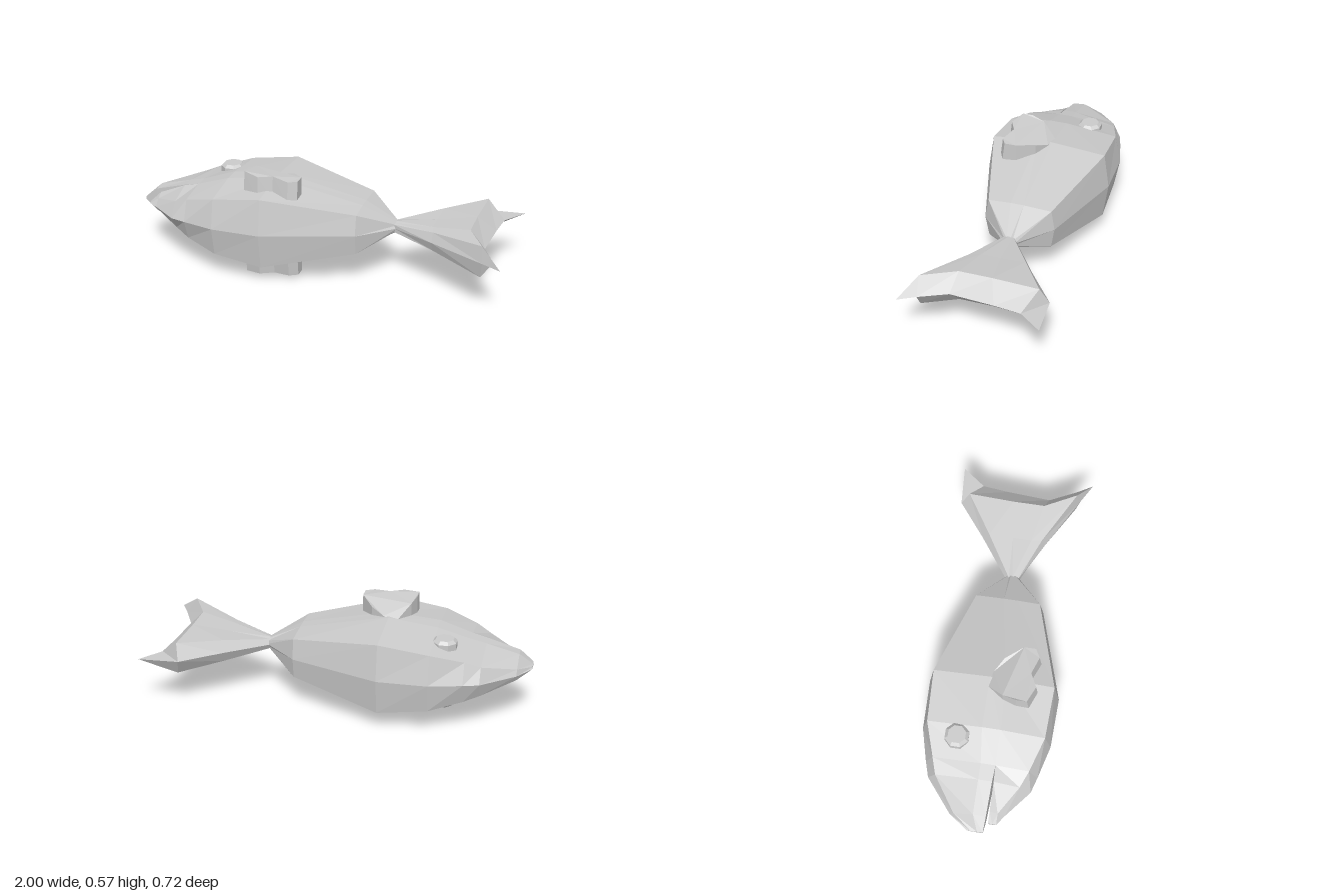
import * as THREE from 'three';

const MID = 0.29; // height of the symmetry plane of the fish, which lies on its side
const grey = new THREE.MeshStandardMaterial({ color: 0xcccccc, flatShading: true });

// Closed loft: each section lists [x, z, halfThickness]; it is mirrored above and below MID.
function loft(name, sections) {
  const n = sections[0].length, m = 2 * n, pos = [], idx = [];
  for (const s of sections) {
    for (const [x, z, h] of s) pos.push(x, MID + h, z);
    for (const [x, z, h] of [...s].reverse()) pos.push(x, MID - h, z);
  }
  for (let i = 0; i < sections.length - 1; i++) {
    for (let j = 0; j < m; j++) {
      const a = i * m + j, b = i * m + (j + 1) % m, c = a + m, d = b + m;
      idx.push(a, b, c, b, d, c);
    }
  }
  // end caps
  const e = (sections.length - 1) * m;
  for (let j = 0; j < n - 1; j++) {
    const a = j, b = j + 1, p = m - 1 - j, q = m - 2 - j;
    idx.push(b, a, p, b, p, q);
    idx.push(e + a, e + b, e + q, e + a, e + q, e + p);
  }
  let g = new THREE.BufferGeometry();
  g.setAttribute('position', new THREE.Float32BufferAttribute(pos, 3));
  g.setIndex(idx);
  g = g.toNonIndexed();
  g.computeVertexNormals();
  const mesh = new THREE.Mesh(g, grey);
  mesh.name = name;
  return mesh;
}

// Section across the fish at a fixed x
const at = (x, ...zh) => zh.map(([z, h]) => [x, z, h]);

// Height of the side fin above the middle plane, along z
function finHeight(z) {
  const k = [[-0.04, 0.2], [-0.02, 0.215], [0.06, 0.27], [0.16, 0.29], [0.24, 0.28]];
  for (let i = 1; i < k.length; i++) {
    if (z <= k[i][0]) {
      return THREE.MathUtils.mapLinear(z, k[i - 1][0], k[i][0], k[i - 1][1], k[i][1]);
    }
  }
  return 0.28;
}

function sideFin() {
  const outline = [[-0.29, -0.035], [-0.355, 0.06], [-0.375, 0.13], [-0.375, 0.2], [-0.29, 0.235],
    [-0.22, 0.2], [-0.13, 0.23], [-0.085, 0.205], [-0.085, 0.13], [-0.15, 0.04], [-0.22, -0.005]];
  const shape = new THREE.Shape(outline.map(([x, z]) => new THREE.Vector2(x, z)));
  const g = new THREE.ExtrudeGeometry(shape, { depth: 0.1, bevelEnabled: false });
  g.rotateX(Math.PI / 2);
  const p = g.attributes.position;
  for (let i = 0; i < p.count; i++) {
    const x = p.getX(i), z = p.getZ(i), top = p.getY(i) > -0.05;
    p.setY(i, top ? finHeight(z) - 0.07 * (x + 0.375) : 0.15);
    if (top && z > 0.15) p.setZ(i, z - 0.015); // end wall leans in
  }
  g.computeVertexNormals();
  const mesh = new THREE.Mesh(g, grey);
  mesh.name = 'sideFin';
  return mesh;
}

function eye() {
  const profile = [[0, 0], [0.065, 0], [0.065, 0.035], [0.048, 0.05], [0, 0.05]];
  const g = new THREE.LatheGeometry(profile.map(([r, y]) => new THREE.Vector2(r, y)), 8, Math.PI / 8);
  const mesh = new THREE.Mesh(g, grey);
  mesh.name = 'eye';
  mesh.position.set(-0.565, 0.135, -0.138);
  return mesh;
}

export function createModel() {
  const fish = new THREE.Group();
  fish.name = 'fish';

  fish.add(loft('body', [
    at(-0.68, [-0.285, 0], [-0.245, 0.11], [0, 0.13], [0.075, 0.13], [0.245, 0.11], [0.29, 0]),
    at(-0.51, [-0.33, 0], [-0.3, 0.155], [-0.02, 0.185], [0.075, 0.185], [0.3, 0.155], [0.333, 0]),
    at(-0.25, [-0.338, 0], [-0.31, 0.19], [-0.02, 0.215], [0.06, 0.213], [0.31, 0.19], [0.34, 0]),
    at(0.22, [-0.185, 0], [-0.168, 0.108], [-0.02, 0.115], [0.05, 0.115], [0.17, 0.108], [0.19, 0]),
    at(0.4, [-0.03, 0], [-0.02, 0.015], [-0.01, 0.025], [0.01, 0.025], [0.02, 0.015], [0.03, 0]),
  ]));

  // Head above the mouth slit, and the jaw below it
  fish.add(loft('upperHead', [
    at(-1, [-0.02, 0], [0, 0.004], [0.03, 0.008], [0.06, 0.008]),
    at(-0.93, [-0.12, 0], [-0.1, 0.03], [0, 0.07], [0.065, 0.065]),
    at(-0.76, [-0.26, 0], [-0.22, 0.08], [0, 0.112], [0.07, 0.112]),
    at(-0.68, [-0.285, 0], [-0.245, 0.11], [0, 0.13], [0.075, 0.13]),
  ]));
  fish.add(loft('jaw', [
    at(-0.95, [0.078, 0.008], [0.1, 0.008], [0.12, 0]),
    at(-0.9, [0.079, 0.055], [0.12, 0.035], [0.155, 0]),
    at(-0.76, [0.078, 0.112], [0.21, 0.075], [0.267, 0]),
    at(-0.68, [0.075, 0.13], [0.245, 0.11], [0.29, 0]),
  ]));

  // Tail fan: sections run from root to rear edge, stepping from one tip to the other
  fish.add(loft('tailFin', [
    [[0.39, 0.035, 0], [0.61, 0.145, 0], [0.9, 0.3, 0], [1, 0.355, 0]],
    [[0.38, 0.03, 0.02], [0.61, 0.125, 0.05], [0.89, 0.278, 0.085], [0.95, 0.27, 0]],
    [[0.38, 0.02, 0.025], [0.6, 0.07, 0.055], [0.8, 0.11, 0.085], [0.88, 0.13, 0]],
    [[0.38, 0, 0.03], [0.6, -0.03, 0.055], [0.8, -0.06, 0.085], [0.895, -0.1, 0]],
    [[0.38, -0.02, 0.025], [0.6, -0.16, 0.06], [0.81, -0.3, 0.085], [0.91, -0.24, 0]],
    [[0.38, -0.035, 0], [0.6, -0.195, 0], [0.79, -0.345, 0], [1, -0.36, 0]],
  ]));

  // Eye and fin on both flanks
  for (const side of [1, -1]) {
    const flank = new THREE.Group();
    flank.name = side > 0 ? 'upperFlank' : 'lowerFlank';
    flank.add(eye(), sideFin());
    flank.position.y = MID;
    flank.scale.y = side;
    fish.add(flank);
  }
  return fish;
}
